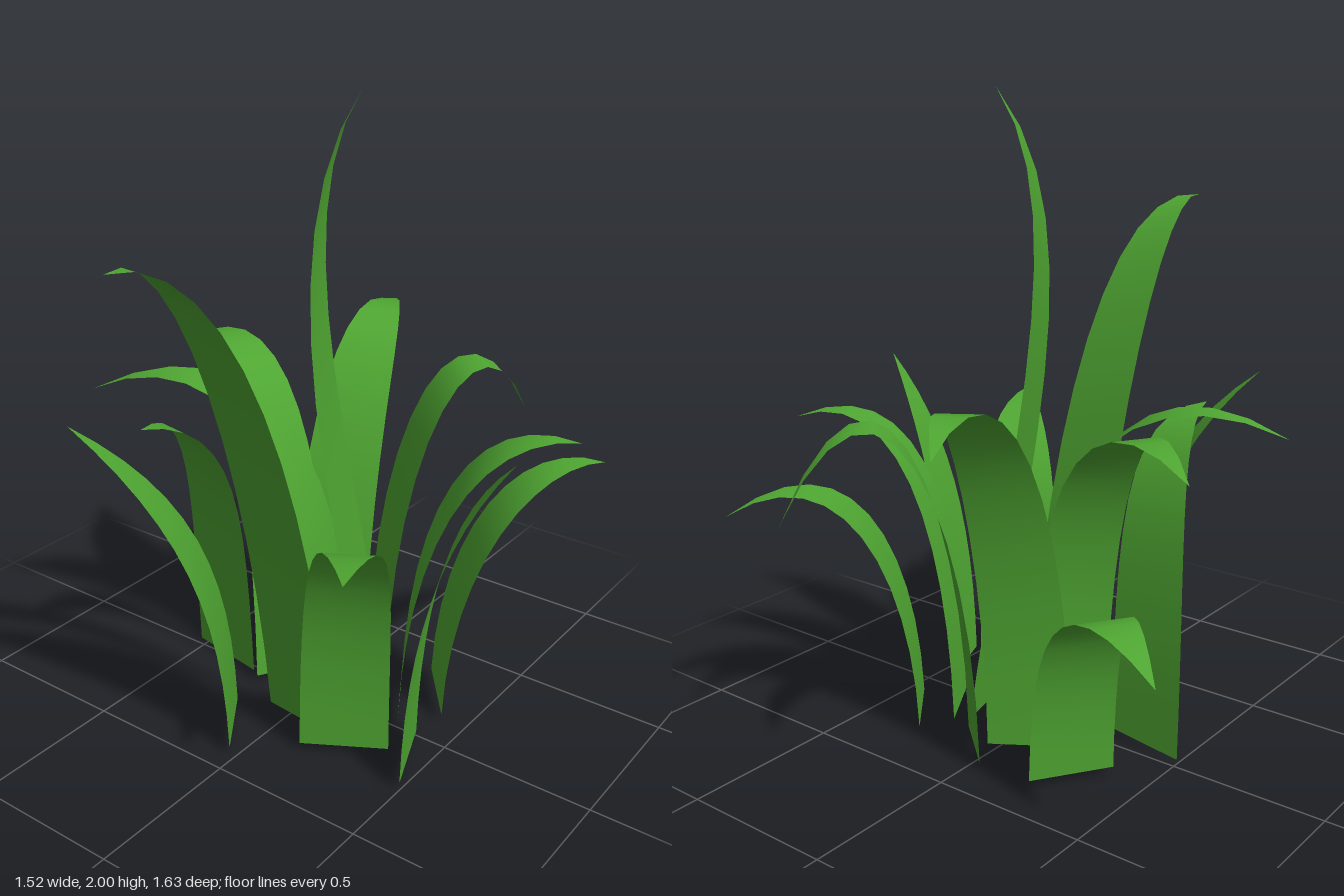
import * as THREE from 'three';

const SEGMENTS = 12;
const V = (x, y, z) => new THREE.Vector3(x, y, z);

// base: x1,z1,x2,z2 of the bottom edge; tip: x,y,z; lift: height of the upper control point;
// reach: how early the blade leans out; bulge: sideways bow to the right of its heading
const BLADES = [
  { base: [-0.21, -0.13, 0.01, -0.27], tip: [-0.26, 1.11, -0.8], lift: 1.38, reach: 0.38, bulge: 0.1 },
  { base: [-0.05, -0.38, 0.13, -0.22], tip: [0.29, 0.83, -0.82], lift: 1.41, reach: 0.4, bulge: 0.13 },
  { base: [0.25, -0.32, 0.42, -0.11], tip: [0.64, 0.76, -0.72], lift: 0.93, reach: 0.34, bulge: 0.13 },
  { base: [0.2, -0.21, 0.34, 0.03], tip: [0.72, 0.98, -0.35], lift: 1.1, reach: 0.36, bulge: 0.12 },
  { base: [0.4, 0.01, 0.5, 0.26], tip: [0.76, 1.1, 0.14], lift: 0.85, reach: 0.28, bulge: -0.03 },
  { base: [0.14, 0.28, 0.38, 0.14], tip: [0.57, 0.91, 0.66], lift: 0.92, reach: 0.27, bulge: -0.03, rise: 0.72 },
  { base: [-0.07, 0.16, 0.2, 0.19], tip: [-0.05, 1.64, 0.81], lift: 1.7, reach: 0.52, bulge: 0, lean: 0.13, rise: 0.53 },
  { base: [-0.17, 0.21, -0.02, 0.43], tip: [-0.39, 1.1, 0.66], lift: 0.85, reach: 0.3, bulge: -0.08 },
  { base: [-0.02, -0.24, 0.06, 0.02], tip: [-0.71, 1.01, 0.25], lift: 1.28, reach: 0.36, bulge: 0, lean: 0.05 },
  { base: [-0.06, -0.16, -0.2, 0.07], tip: [-0.74, 1.03, -0.36], lift: 1.27, reach: 0.36, bulge: -0.01 },
  { base: [-0.23, -0.37, -0.38, -0.15], tip: [-0.76, 0.54, -0.53], lift: 0.78, reach: 0.33, bulge: 0.02 },
  { base: [-0.51, 0, -0.23, 0.05], tip: [-0.32, 1.03, 0.44], lift: 1.03, reach: 0.36, bulge: -0.08, lean: 0.08 },
];

// Spine that rises from the base and arches over to the tip
function archedSpine({ base, tip, lift, reach, bulge, lean = 0.03, rise = 0.61 }) {
  const foot = V((base[0] + base[2]) / 2, 0.025, (base[1] + base[3]) / 2);
  const end = V(...tip);
  const out = V(end.x - foot.x, 0, end.z - foot.z);
  const side = V(-out.z, 0, out.x).normalize();
  const low = foot.clone().addScaledVector(out, lean).setY(lift * rise);
  const high = foot.clone().addScaledVector(out, reach).addScaledVector(side, bulge).setY(lift);
  return new THREE.CubicBezierCurve3(foot, low, high, end);
}

// Flat ribbon along the spine, narrowing to a point; tilt is the height change across it
function bladeGeometry(spine, [x1, z1, x2, z2], tilt = 0) {
  const half = V(x2 - x1, tilt, z2 - z1).multiplyScalar(0.5);
  const positions = [];
  const index = [];
  for (let i = 0; i <= SEGMENTS; i++) {
    const t = i / SEGMENTS;
    const centre = spine.getPoint(t);
    const width = (1 - 0.12 * t) * (1 - Math.pow(t, 3));
    for (const s of [-width, width]) {
      const p = centre.clone().addScaledVector(half, s);
      positions.push(p.x, p.y, p.z);
    }
    if (i < SEGMENTS) {
      const a = i * 2;
      index.push(a, a + 1, a + 2);
      if (i < SEGMENTS - 1) index.push(a + 1, a + 3, a + 2);
    }
  }
  const geometry = new THREE.BufferGeometry();
  geometry.setAttribute('position', new THREE.Float32BufferAttribute(positions, 3));
  geometry.setIndex(index);
  geometry.computeVertexNormals();
  return geometry;
}

export function createModel() {
  const group = new THREE.Group();
  group.name = 'grassTuft';
  const green = new THREE.MeshStandardMaterial({ color: 0x4fa632, side: THREE.DoubleSide });
  const add = (name, spine, base, tilt) => {
    const mesh = new THREE.Mesh(bladeGeometry(spine, base, tilt), green);
    mesh.name = name;
    group.add(mesh);
  };

  // Ring of arching blades
  BLADES.forEach((blade, i) => add(`archingBlade${i + 1}`, archedSpine(blade), blade.base));

  // Tall upright blade in the middle
  const tall = new THREE.CubicBezierCurve3(
    V(0.19, 0.02, -0.075), V(0.12, 0.75, -0.015), V(-0.06, 1.6, 0.17), V(0.1, 2, -0.09));
  add('tallBlade', tall, [0.14, -0.2, 0.24, 0.05], -0.04);

  return group;
}
